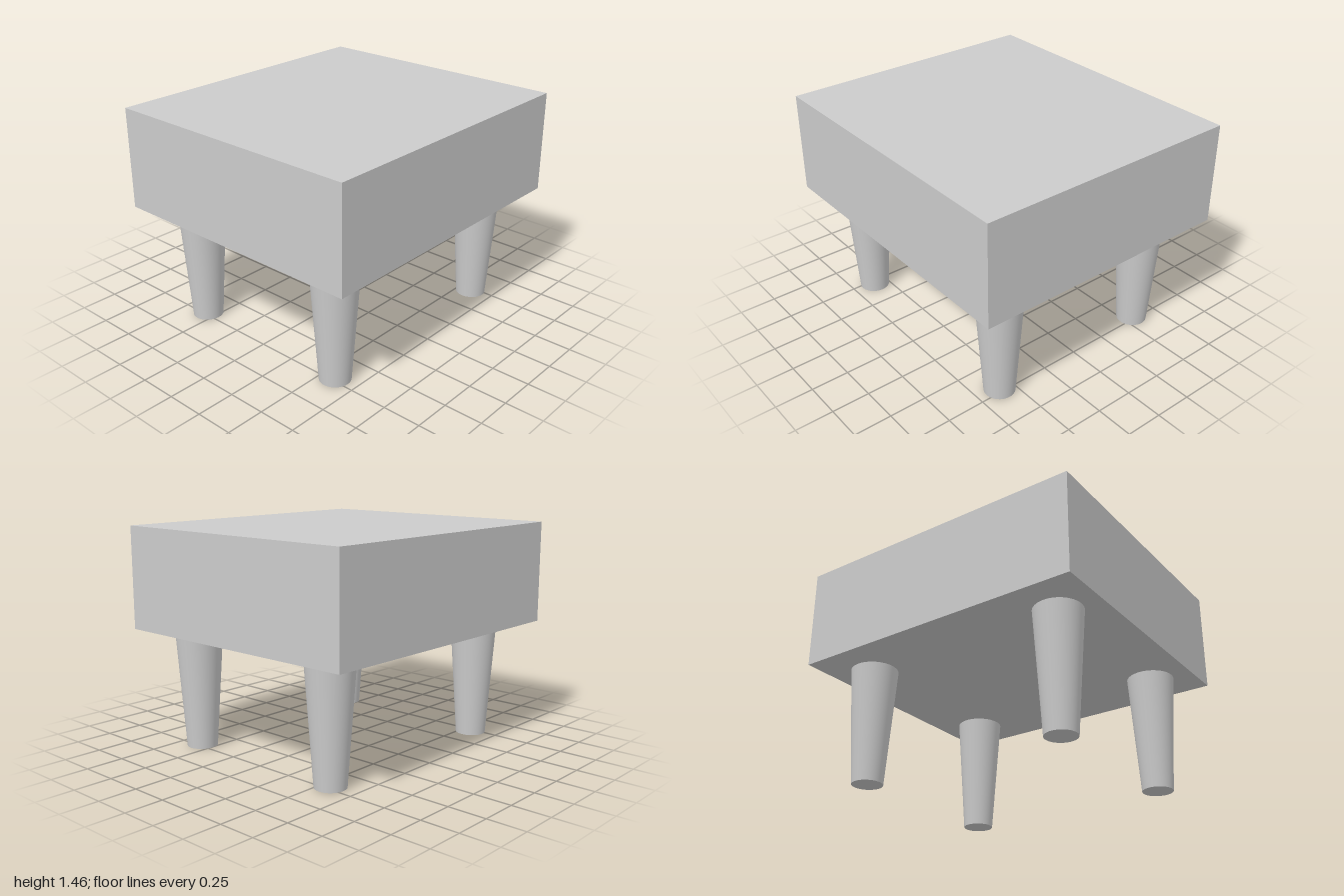
import * as THREE from 'three';

export function createModel() {
  const group = new THREE.Group();
  const material = new THREE.MeshStandardMaterial({ color: 0xcccccc });
  const legHeight = 0.785, seatHeight = 0.67;

  // Thick block seat
  const seat = new THREE.Mesh(new THREE.BoxGeometry(2, seatHeight, 1.79), material);
  seat.name = 'seat';
  seat.position.y = legHeight + seatHeight / 2;
  group.add(seat);

  // Four round legs tapering to the floor, the front pair set slightly further out
  const legGeometry = new THREE.CylinderGeometry(0.155, 0.1, legHeight, 48);
  for (const [end, z] of [['front', 0.592], ['back', -0.567]]) {
    for (const [side, x] of [['Left', 0.717], ['Right', -0.719]]) {
      const leg = new THREE.Mesh(legGeometry, material);
      leg.name = `${end}${side}Leg`;
      leg.position.set(x, legHeight / 2, z);
      group.add(leg);
    }
  }
  return group;
}
